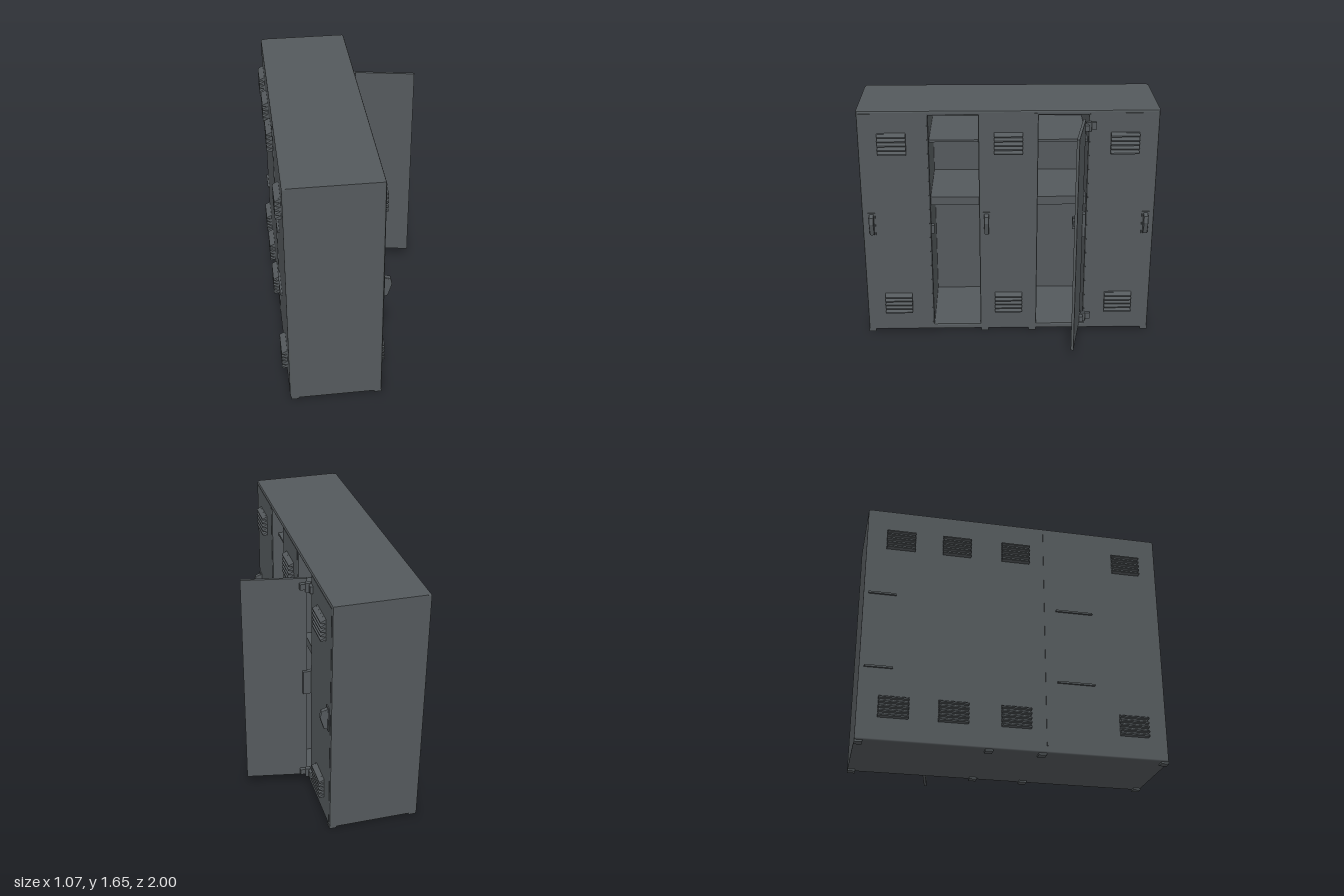
import * as THREE from 'three';
import { RoundedBoxGeometry } from 'three/addons/geometries/RoundedBoxGeometry.js';

export function createModel() {
  const root = new THREE.Group();
  root.name = 'lockerBank';
  const steel = new THREE.MeshStandardMaterial({ color: 0x54595c });
  steel.name = 'grey steel';

  const add = (name, geo, x, y, z, parent = root) => {
    const m = new THREE.Mesh(geo, steel);
    m.name = name;
    m.position.set(x, y, z);
    parent.add(m);
    return m;
  };
  const box = (name, w, h, d, x, y, z, parent) =>
    add(name, new THREE.BoxGeometry(w, h, d), x, y, z, parent);
  const rect = (Type, x0, x1, y0, y1) => {
    const p = new Type();
    p.moveTo(x0, y0);
    p.lineTo(x1, y0);
    p.lineTo(x1, y1);
    p.lineTo(x0, y1);
    p.closePath();
    return p;
  };

  // Cabinet carcass with two open compartments, facing +x
  const outline = rect(THREE.Shape, -1, 1, 0.012, 1.655);
  outline.holes.push(rect(THREE.Path, -0.53, -0.2, 0.055, 1.62));
  outline.holes.push(rect(THREE.Path, 0.2, 0.53, 0.055, 1.62));
  const bevel = 0.012;
  const carcass = new THREE.ExtrudeGeometry(outline, {
    depth: 0.564, bevelEnabled: true, bevelThickness: bevel, bevelSize: bevel,
    bevelOffset: -bevel, bevelSegments: 2,
  });
  carcass.rotateY(Math.PI / 2);
  add('carcass', carcass, -0.472, 0, 0);
  add('backPanel', new RoundedBoxGeometry(0.05, 1.643, 2, 2, 0.012), -0.477, 0.8335, 0);

  // Closed door panels, just proud of the carcass
  for (const [z0, z1] of [[0.54, 0.985], [-0.19, 0.19], [-0.985, -0.54]]) {
    box('closedDoor', 0.008, 1.59, z1 - z0, 0.102, 0.84, (z0 + z1) / 2);
  }

  // Shelves inside the open compartments
  for (const z of [0.365, -0.365]) {
    box('upperShelf', 0.52, 0.016, 0.33, -0.2, 1.43, z);
    box('middleShelf', 0.52, 0.02, 0.33, -0.2, 1.015, z);
    box('shelfLip', 0.02, 0.05, 0.33, 0.05, 0.99, z);
  }

  // Louvred vents: angled slats on a shallow plate
  const slat = new THREE.Shape();
  slat.moveTo(0, 0.014);
  slat.lineTo(0, -0.012);
  slat.lineTo(0.035, -0.012);
  slat.lineTo(0.035, -0.004);
  slat.closePath();
  const slatGeo = new THREE.ExtrudeGeometry(slat, { depth: 0.19, bevelEnabled: false });
  slatGeo.translate(0, 0, -0.095);
  const vent = (name, x, y, z, turn) => {
    const g = new THREE.Group();
    g.name = name;
    g.position.set(x, y, z);
    g.rotation.y = turn;
    box('ventPlate', 0.012, 0.14, 0.18, 0.006, 0, 0, g);
    for (let i = 0; i < 5; i++) add('slat', slatGeo, 0.003, (i - 2) * 0.03, 0, g);
    root.add(g);
  };
  for (const y of [1.43, 0.235]) {
    for (const z of [0.775, 0, -0.775]) vent('frontVent', 0.102, y, z, 0);
    for (const z of [0.775, 0, -0.4, -0.775]) vent('backVent', -0.502, y, z, Math.PI);
  }

  // Door handles: recessed plate with a tapered pull
  const pull = new THREE.Shape();
  pull.moveTo(0, -0.075);
  pull.lineTo(0.03, -0.065);
  pull.lineTo(0.055, 0.02);
  pull.lineTo(0.045, 0.06);
  pull.lineTo(0, 0.075);
  pull.closePath();
  const pullGeo = new THREE.ExtrudeGeometry(pull, {
    depth: 0.016, bevelEnabled: true, bevelSize: 0.005, bevelThickness: 0.008, bevelSegments: 2,
  });
  pullGeo.translate(0, 0, -0.008);
  for (const z of [0.935, 0.15, -0.94]) {
    box('handlePlate', 0.014, 0.17, 0.05, 0.106, 0.845, z);
    add('handle', pullGeo, 0.102, 0.845, z);
  }

  // Open door, swung out on its hinge edge
  const door = new THREE.Group();
  door.name = 'openDoor';
  door.position.set(0.125, 0, -0.5);
  door.rotation.y = -Math.atan2(0.075, 0.405);
  root.add(door);
  box('doorPanel', 0.41, 1.515, 0.018, 0.205, 0.842, 0, door);

  // Hinges and the latch beside the open door
  for (const y of [1.55, 0.12]) {
    box('hingeLeaf', 0.08, 0.04, 0.025, 0.135, y, -0.515);
    add('hingePin', new THREE.CylinderGeometry(0.018, 0.018, 0.065, 10), 0.125, y, -0.53);
    box('hingeStrap', 0.03, 0.05, 0.06, 0.11, y, -0.55);
  }
  box('latchBracket', 0.06, 0.17, 0.03, 0.125, 0.845, -0.51);
  box('latchBar', 0.1, 0.035, 0.04, 0.15, 0.875, -0.46);
  box('latchHook', 0.025, 0.08, 0.025, 0.175, 0.875, -0.445);

  // Catch on the other open compartment
  box('catch', 0.03, 0.06, 0.02, 0.085, 0.8, 0.52);

  // Back seams
  box('backSeam', 0.006, 1.55, 0.008, -0.504, 0.835, 0.2);
  for (const y of [1.02, 0.5]) {
    box('backRib', 0.02, 0.012, 0.25, -0.505, y, 0.4);
    box('backRib', 0.02, 0.012, 0.18, -0.505, y, -0.88);
  }

  // Low feet
  for (const x of [-0.47, 0.08]) {
    for (const z of [-0.975, -0.17, 0.17, 0.975]) box('foot', 0.05, 0.024, 0.05, x, 0.012, z);
  }
  return root;
}
